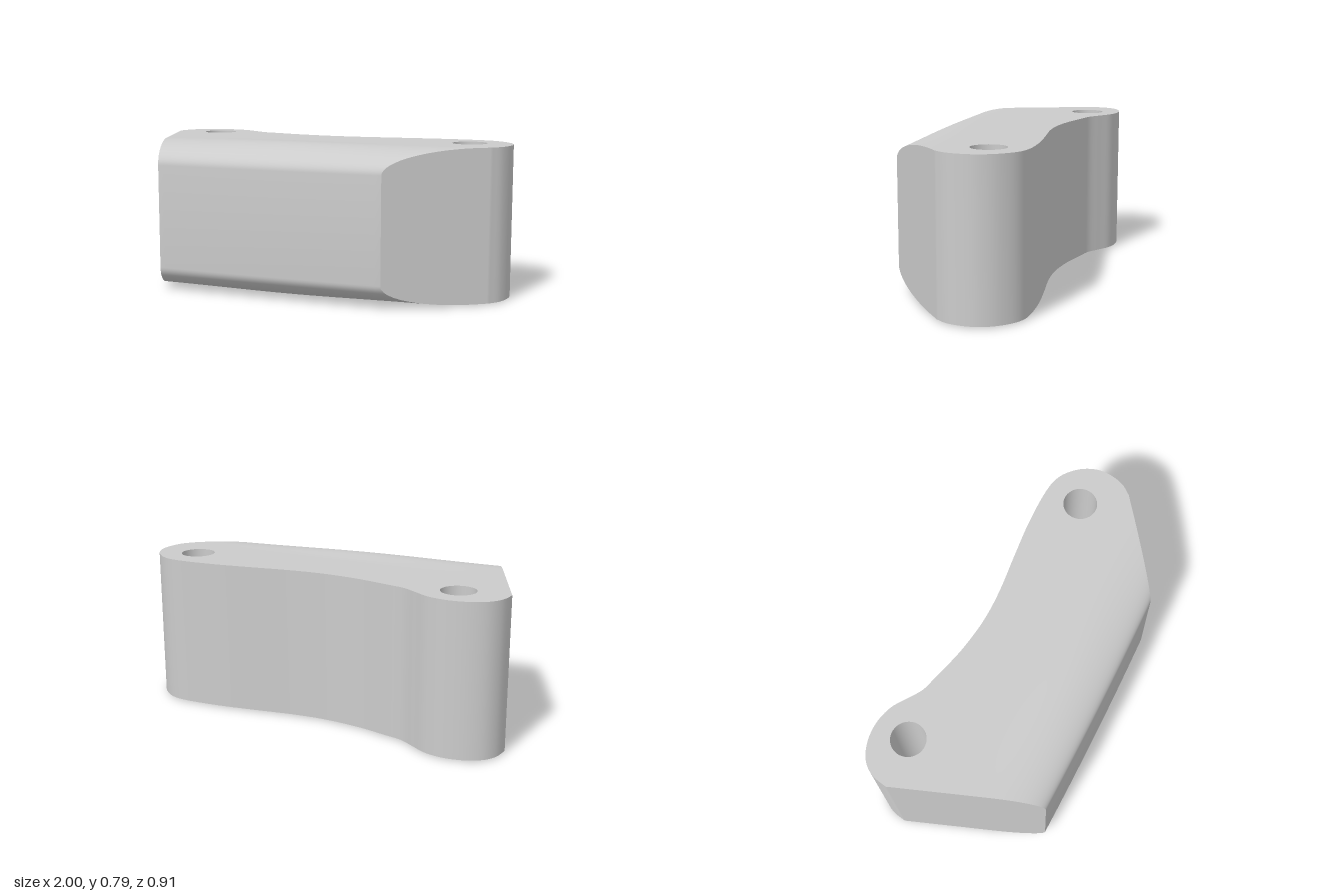
import * as THREE from 'three';
import { toCreasedNormals } from 'three/addons/utils/BufferGeometryUtils.js';

const MID = 0.397;              // mid height
const HALF = 0.388;             // half thickness of the flat part
const EDGE = 0.268;             // half height of the front face
const SPLIT_Z = 0.02;           // where the rounded front meets the flat back
const COLS = 40, ROUND = 18, FLAT = 10;

// Collects quads and triangles given counter-clockwise from outside
function collector() {
  const pos = [];
  const tri = (a, b, c) => pos.push(...a, ...b, ...c);
  const quad = (a, b, c, d) => { tri(a, b, c); tri(a, c, d); };
  const geometry = (crease) => {
    const g = new THREE.BufferGeometry();
    g.setAttribute('position', new THREE.Float32BufferAttribute(pos, 3));
    return toCreasedNormals(g, crease);
  };
  return { tri, quad, geometry };
}

// Upper profile at u (0 left end, 1 right end), from front face to split line
function upperProfile(u) {
  const lerp = THREE.MathUtils.lerp;
  const fx = lerp(-0.7, 0.51, u);
  const fz = lerp(0.45, 0.385, u) + 0.032 * u * (1 - u);
  const sx = lerp(-0.884, 0.94, u);
  const depth = fz - SPLIT_Z;
  const a = lerp(0.25, 0.33, u);
  const pts = [];
  for (let i = 0; i <= ROUND + FLAT; i++) {
    const th = Math.min(i / ROUND, 1) * Math.PI / 2;
    const d = i <= ROUND ? a * (1 - Math.cos(th)) : lerp(a, depth, (i - ROUND) / FLAT);
    const t = d / depth;
    const swell = 0.008 * Math.sin(Math.PI * u) ** 2 * Math.sin(Math.PI * t) ** 2;
    pts.push([lerp(fx, sx, t), EDGE + (HALF - EDGE) * Math.sin(th) + swell, fz - d]);
  }
  return pts;
}

// Rounded front: sections lofted from left to right, with flat ends
function addFront(out) {
  const up = ([x, h, z]) => [x, MID + h, z];
  const down = ([x, h, z]) => [x, MID - h, z];
  const profiles = [];
  for (let i = 0; i <= COLS; i++) profiles.push(upperProfile(i / COLS));
  const sections = profiles.map((p) => [...p.map(down).reverse(), ...p.map(up)]);
  for (let i = 0; i < COLS; i++) {
    const A = sections[i], B = sections[i + 1];
    for (let j = 0; j < A.length - 1; j++) out.quad(A[j], B[j], B[j + 1], A[j + 1]);
  }
  const L = profiles[0], R = profiles[COLS];
  for (let k = 0; k < L.length - 1; k++) {
    out.quad(up(L[k]), up(L[k + 1]), down(L[k + 1]), down(L[k]));
    out.quad(up(R[k + 1]), up(R[k]), down(R[k]), down(R[k + 1]));
  }
}

// Vertical wall along a plan path (x, z)
function addWall(out, path) {
  for (let i = 0; i < path.length - 1; i++) {
    const a = path[i], b = path[i + 1];
    out.quad([a.x, MID - HALF, a.y], [a.x, MID + HALF, a.y],
      [b.x, MID + HALF, b.y], [b.x, MID - HALF, b.y]);
  }
}

// Flat top and bottom of a plan contour with holes
function addCaps(out, contour, holes) {
  const all = [...contour, ...holes.flat()];
  for (const f of THREE.ShapeUtils.triangulateShape(contour, holes)) {
    let [a, b, c] = f.map((i) => all[i]);
    const turn = (b.x - a.x) * (c.y - a.y) - (b.y - a.y) * (c.x - a.x);
    if (turn > 0) [b, c] = [c, b];
    const at = (p, y) => [p.x, y, p.y];
    out.tri(at(a, MID + HALF), at(b, MID + HALF), at(c, MID + HALF));
    out.tri(at(a, MID - HALF), at(c, MID - HALF), at(b, MID - HALF));
  }
}

// Plan circle, ordered so that its wall faces inward
function circle(cx, cz, r, n = 36) {
  return Array.from({ length: n }, (_, i) => {
    const t = i / n * Math.PI * 2;
    return new THREE.Vector2(cx + r * Math.cos(t), cz - r * Math.sin(t));
  });
}

export function createModel() {
  const group = new THREE.Group();
  const out = collector();

  addFront(out);

  // Curved back outline, left corner round to the right wall
  const back = new THREE.SplineCurve([
    [-1, -0.25], [-0.985, -0.335], [-0.94, -0.4], [-0.86, -0.443], [-0.76, -0.458],
    [-0.66, -0.44], [-0.58, -0.395], [-0.5, -0.35], [-0.41, -0.33], [-0.24, -0.295],
    [-0.05, -0.279], [0.13, -0.29], [0.35, -0.325], [0.55, -0.354], [0.75, -0.366],
    [0.86, -0.346], [0.945, -0.28], [0.99, -0.2], [0.998, -0.12], [0.98, -0.04], [0.94, SPLIT_Z],
  ].map(([x, z]) => new THREE.Vector2(x, z))).getPoints(120);
  const contour = [new THREE.Vector2(-0.884, SPLIT_Z), ...back];
  addWall(out, contour);

  // Two through holes
  const holes = [circle(-0.75, -0.28, 0.088), circle(0.77, -0.175, 0.088)];
  holes.forEach((h) => addWall(out, [...h, h[0]]));
  addCaps(out, contour, holes);

  const body = new THREE.Mesh(out.geometry(0.5), new THREE.MeshStandardMaterial({ color: 0xcccccc }));
  body.name = 'curvedBlockWithHoles';
  group.add(body);
  return group;
}
